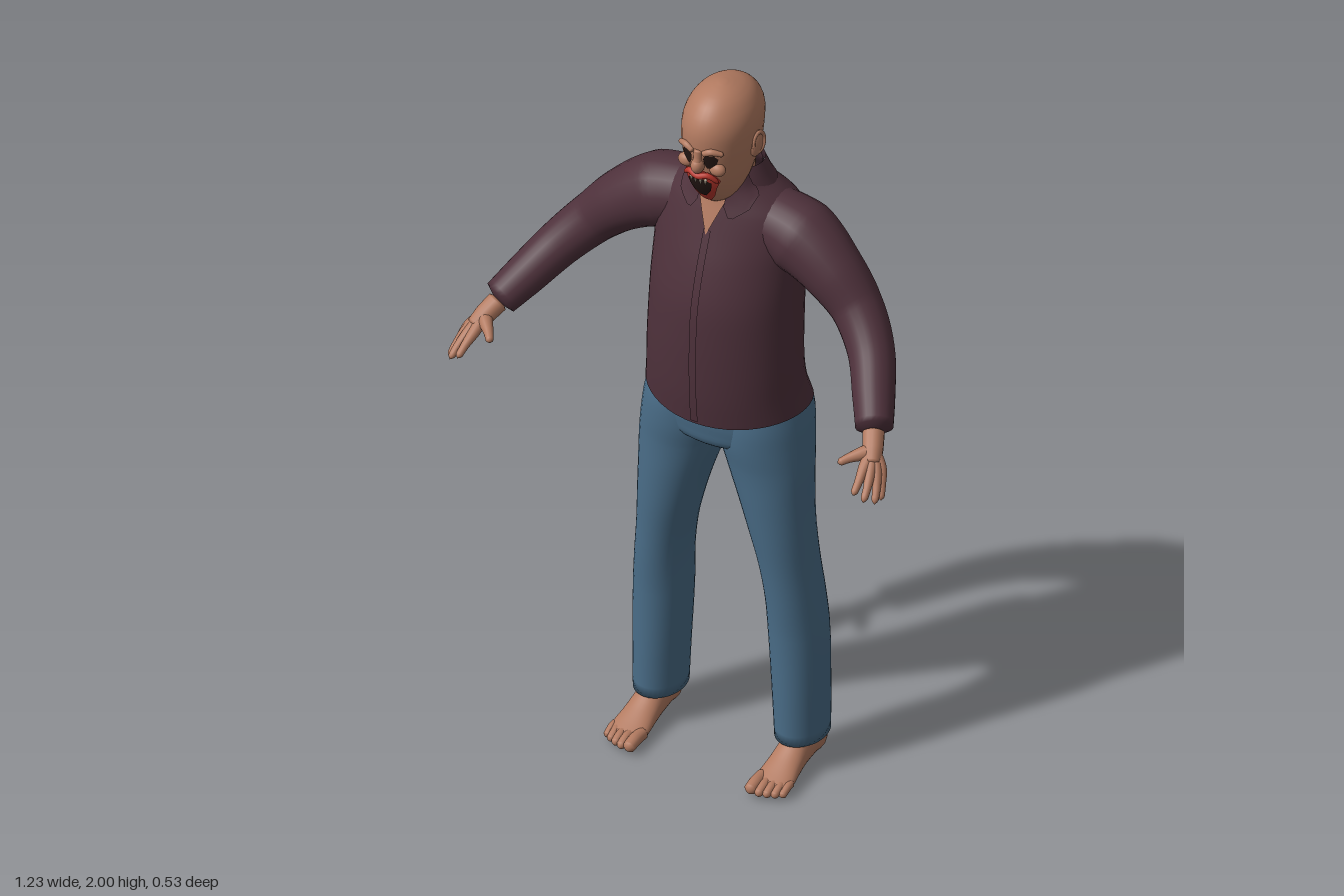
import * as THREE from 'three';
import { mergeVertices } from 'three/addons/utils/BufferGeometryUtils.js';

const mat = (name, color, side = THREE.FrontSide) =>
  new THREE.MeshStandardMaterial({ name, color, side });

// Cross-section lookup; rings are [height, xMin, xMax, zFront, zBack]
function section(rings) {
  const it = new THREE.CubicInterpolant(rings.map(r => r[0]), rings.flatMap(r => r.slice(1)), 4);
  return h => {
    const [x0, x1, zf, zb] = it.evaluate(h);
    return { cx: (x0 + x1) / 2, rx: Math.abs(x1 - x0) / 2, cz: (zf + zb) / 2, rz: Math.abs(zf - zb) / 2 };
  };
}

// Smooth closed body through elliptical sections
function loft(rings, { sub = 4, seg = 36, caps = true, bend = (x, y) => y } = {}) {
  const at = section(rings), hs = [], pos = [], idx = [];
  rings.forEach((r, i) => {
    if (i) for (let k = 1; k <= sub; k++) hs.push(rings[i - 1][0] + (r[0] - rings[i - 1][0]) * k / sub);
    else hs.push(r[0]);
  });
  hs.forEach((h, i) => {
    const s = at(h);
    for (let j = 0; j < seg; j++) {
      const a = j / seg * Math.PI * 2;
      pos.push(s.cx + s.rx * Math.cos(a), bend(a, h), s.cz + s.rz * Math.sin(a));
      if (i) {
        const a0 = (i - 1) * seg + j, b0 = (i - 1) * seg + (j + 1) % seg;
        idx.push(a0, a0 + seg, b0, b0, a0 + seg, b0 + seg);
      }
    }
  });
  if (caps) [0, hs.length - 1].forEach((i, top) => {
    const s = at(hs[i]), c = pos.length / 3;
    pos.push(s.cx, hs[i], s.cz);
    for (let j = 0; j < seg; j++) {
      const p = i * seg + j, q = i * seg + (j + 1) % seg;
      idx.push(c, top ? q : p, top ? p : q);
    }
  });
  const g = new THREE.BufferGeometry();
  g.setAttribute('position', new THREE.Float32BufferAttribute(pos, 3));
  g.setIndex(idx);
  g.computeVertexNormals();
  return g;
}

// Tapered tube; larger "blunt" gives a flatter end
function limb(points, radii, blunt = 12, n = 24, seg = 14) {
  const curve = new THREE.CatmullRomCurve3(points.map(p => new THREE.Vector3(...p)));
  let g = new THREE.TubeGeometry(curve, n, 1, seg);
  const p = g.attributes.position, v = new THREE.Vector3();
  for (let i = 0; i <= n; i++) {
    const t = i / n, c = curve.getPointAt(t);
    const u = curve.getUtoTmapping(t) * (radii.length - 1);
    const k = Math.min(Math.floor(u), radii.length - 2);
    const r = THREE.MathUtils.lerp(radii[k], radii[k + 1], u - k) *
      Math.sqrt(Math.min(1, (1 - t) * blunt)) * Math.sqrt(Math.min(1, t * blunt));
    for (let j = 0; j <= seg; j++) {
      const q = i * (seg + 1) + j;
      v.fromBufferAttribute(p, q).sub(c).multiplyScalar(r).add(c);
      p.setXYZ(q, v.x, v.y, v.z);
    }
  }
  g.deleteAttribute('uv');
  g.deleteAttribute('normal');
  g = mergeVertices(g, 1e-5);
  g.computeVertexNormals();
  return g;
}

// Thin sheet lying on the front of a lofted body; rows are [y, xMin, xMax], top to bottom
function panel(rings, rows, off, nx = 8, sub = 3) {
  const at = section(rings), pos = [], idx = [], n = (rows.length - 1) * sub;
  for (let i = 0; i <= n; i++) {
    const k = Math.min(Math.floor(i / sub), rows.length - 2), f = i / sub - k;
    const [y, a, b] = rows[k].map((v, m) => THREE.MathUtils.lerp(v, rows[k + 1][m], f));
    const s = at(y);
    for (let j = 0; j <= nx; j++) {
      const x = a + (b - a) * j / nx;
      pos.push(x, y, s.cz + s.rz * Math.sqrt(Math.max(0, 1 - (x / s.rx) ** 2)) + off);
      if (i && j) {
        const d = i * (nx + 1) + j, u = d - nx - 1;
        idx.push(u - 1, d - 1, u, u, d - 1, d);
      }
    }
  }
  const g = new THREE.BufferGeometry();
  g.setAttribute('position', new THREE.Float32BufferAttribute(pos, 3));
  g.setIndex(idx);
  g.computeVertexNormals();
  return g;
}

export function createModel() {
  const model = new THREE.Group();
  const skin = mat('skin', 0xb27a60), shirt = mat('shirt', 0x4e313b, THREE.DoubleSide);
  const denim = mat('denim', 0x4a6d88), red = mat('red', 0xb8362c, THREE.DoubleSide);
  const dark = mat('dark', 0x231613, THREE.DoubleSide), tooth = mat('tooth', 0xd6c8b0);
  const add = (name, geo, m) => {
    const mesh = new THREE.Mesh(geo, m);
    mesh.name = name;
    model.add(mesh);
    return mesh;
  };
  const ball = (name, m, p, s) => {
    const b = add(name, new THREE.SphereGeometry(1, 20, 14), m);
    b.position.set(...p);
    b.scale.set(...s);
    return b;
  };
  const sym = rows => rows.map(([h, r, f, b]) => [h, -r, r, f, b]);

  // Shirt body with a curved hem
  const torso = sym([[1.05, .217, .078, -.262], [1.12, .207, .085, -.24], [1.2, .203, .088, -.232],
    [1.3, .2, .087, -.24], [1.4, .198, .079, -.25], [1.5, .199, .053, -.258], [1.58, .202, .024, -.25],
    [1.64, .182, .002, -.23], [1.68, .135, -.012, -.2], [1.71, .096, -.018, -.182], [1.75, .08, -.03, -.168]]);
  const hem = (a, y) => y + Math.max(0, 1 - (y - 1.05) / .1) *
    (.018 * Math.cos(a) ** 2 - (Math.sin(a) < 0 ? .015 * Math.sin(a) ** 2 : 0));
  add('shirtBody', loft(torso, { caps: false, seg: 48, bend: hem }), shirt);
  add('shirtPlacket', panel(torso, [[1.6, -.008, .012], [1.4, -.008, .012], [1.2, -.008, .012], [1.06, -.008, .012]], .004, 2, 6), shirt);
  add('collarBand', loft(sym([[1.695, .112, -.03, -.2], [1.72, .1, -.032, -.188], [1.758, .084, -.04, -.174]]), { caps: false }), shirt);
  add('openNeck', panel(torso, [[1.74, -.05, .05], [1.7, -.045, .045], [1.65, -.025, .025], [1.59, 0, .002]], .006), skin);

  // Hips
  add('hips', loft(sym([[.93, .07, -.01, -.14], [.96, .17, .03, -.19], [1.0, .215, .041, -.218],
    [1.04, .216, .046, -.232], [1.1, .203, .05, -.225]])), denim);

  // Neck and head
  add('neck', loft(sym([[1.62, .07, -.03, -.16], [1.7, .062, -.025, -.158], [1.8, .066, -.02, -.168]])), skin);
  const head = sym([[1.675, .024, -.002, -.05], [1.69, .046, .012, -.075], [1.72, .065, .032, -.11], [1.76, .078, .05, -.145],
    [1.81, .088, .058, -.168], [1.87, .094, .064, -.183], [1.92, .091, .058, -.186], [1.96, .073, .034, -.165],
    [1.983, .05, .004, -.132], [1.995, .026, -.028, -.094], [2.0, .008, -.05, -.07]]);
  add('head', loft(head), skin);
  ball('nose', skin, [0, 1.822, .062], [.017, .022, .02]);
  add('noseBridge', limb([[0, 1.87, .058], [0, 1.845, .062], [0, 1.82, .068]], [.012, .011, .013]), skin);

  // Open mouth
  add('mouthRed', panel(head, [[1.81, -.012, .012], [1.795, -.042, .042], [1.775, -.05, .05], [1.75, -.04, .04],
    [1.72, -.03, .03], [1.69, -.012, .012]], .004), red);
  add('mouthDark', panel(head, [[1.782, -.014, .014], [1.77, -.033, .033], [1.745, -.028, .028], [1.718, -.01, .01]], .007), dark);
  add('upperLip', limb([[-.048, 1.772, .042], [-.025, 1.795, .057], [0, 1.79, .064], [.025, 1.795, .057], [.048, 1.772, .042]],
    [.005, .008, .008, .008, .005]), red);
  for (const x of [-.02, -.007, .007, .02]) {
    const t = add('tooth', new THREE.ConeGeometry(.0045, .016, 6), tooth);
    t.position.set(x, 1.774, .061 - x * x * 5);
    t.rotation.x = Math.PI;
  }

  for (const s of [1, -1]) {
    const side = s > 0 ? 'left' : 'right';
    const mx = pts => pts.map(([x, ...r]) => [s * x, ...r]);
    const mrings = rs => rs.map(([h, a, b, f, k]) => [h, ...(s > 0 ? [a, b] : [-b, -a]), f, k]);
    const mrows = rs => rs.map(([y, a, b]) => s > 0 ? [y, a, b] : [y, -b, -a]);

    // Face details
    add(side + 'Eye', panel(head, mrows([[1.858, .022, .04], [1.847, .016, .05], [1.832, .018, .046], [1.818, .024, .032]]), .003), dark);
    add(side + 'Brow', limb(mx([[.012, 1.86, .062], [.035, 1.87, .058], [.062, 1.862, .042]]), [.008, .009, .006]), skin);
    ball(side + 'Cheek', skin, [s * .044, 1.812, .042], [.022, .018, .016]);
    const ear = ball(side + 'Ear', skin, [s * .093, 1.845, -.062], [.011, .037, .021]);
    ear.rotation.set(-.15, s * -.3, 0);
    const rim = add(side + 'EarRim', new THREE.TorusGeometry(.018, .004, 8, 20), skin);
    rim.position.set(s * .1, 1.85, -.064);
    rim.rotation.set(0, Math.PI / 2 - s * .3, 0);
    rim.scale.y = 1.6;

    // Collar flap
    add(side + 'CollarFlap', panel(torso, mrows([[1.748, .055, .073], [1.72, .042, .084], [1.695, .038, .105],
      [1.67, .036, .098], [1.645, .052, .064]]), .012, 6), shirt);

    // Sleeve with cuff
    add(side + 'Sleeve', limb(mx([[.09, 1.6, -.11], [.2, 1.573, -.105], [.29, 1.52, -.09], [.37, 1.445, -.075],
      [.44, 1.37, -.025], [.495, 1.3, .055], [.536, 1.248, .122]]),
      [.085, .096, .08, .066, .059, .053, .046], 90, 48, 24), shirt);

    // Hand
    const wrist = [.53, 1.252, .115], palm = [.551, 1.222, .155];
    add(side + 'Wrist', limb(mx([wrist, palm, [.566, 1.198, .185]]), [.028, .026, .02]), skin);
    [[[.584, 1.19, .172], [.598, 1.158, .192], [.607, 1.125, .212]],
      [[.578, 1.192, .184], [.594, 1.16, .21], [.603, 1.127, .236]],
      [[.568, 1.194, .195], [.58, 1.168, .23], [.586, 1.142, .262]],
      [[.553, 1.198, .2], [.558, 1.178, .236], [.561, 1.158, .268]]].forEach((f, i) =>
      add(side + 'Finger' + (i + 1), limb(mx([palm, ...f]), [.018, .0145, .0105, .0085]), skin));
    add(side + 'Thumb', limb(mx([palm, [.53, 1.217, .18], [.51, 1.212, .203], [.493, 1.205, .226]]),
      [.021, .017, .012, .009]), skin);

    // Trouser leg
    add(side + 'TrouserLeg', loft(mrings([[.085, .136, .265, -.02, -.186], [.2, .13, .266, -.018, -.187],
      [.4, .118, .264, -.015, -.186], [.5, .114, .256, -.008, -.18], [.6, .1, .246, 0, -.172], [.7, .075, .24, .01, -.168],
      [.8, .045, .236, .018, -.173], [.9, .01, .234, .025, -.188], [.97, -.01, .228, .034, -.208],
      [1.03, -.01, .22, .036, -.222], [1.09, -.01, .205, .03, -.215]])), denim);

    // Foot, lofted from heel to ball
    const foot = loft(mrings([[-.178, .188, .222, -.028, -.055], [-.165, .175, .235, -.005, -.085], [-.12, .17, .24, 0, -.115],
      [-.06, .165, .244, 0, -.1], [0, .16, .251, 0, -.066], [.04, .157, .256, 0, -.046], [.072, .162, .25, -.004, -.032]]));
    foot.rotateX(Math.PI / 2);
    add(side + 'Foot', foot, skin);
    [[.171, .112, .017], [.194, .11, .0125], [.213, .104, .012], [.231, .095, .0115], [.247, .083, .011]].forEach(([x, z, r], i) =>
      add(side + 'Toe' + (i + 1), limb(mx([[x, .022, .03], [x + .001, .024, z - .035], [x + .001, r, z]]), [r, r, r * .9], 8), skin));
  }
  return model;
}
